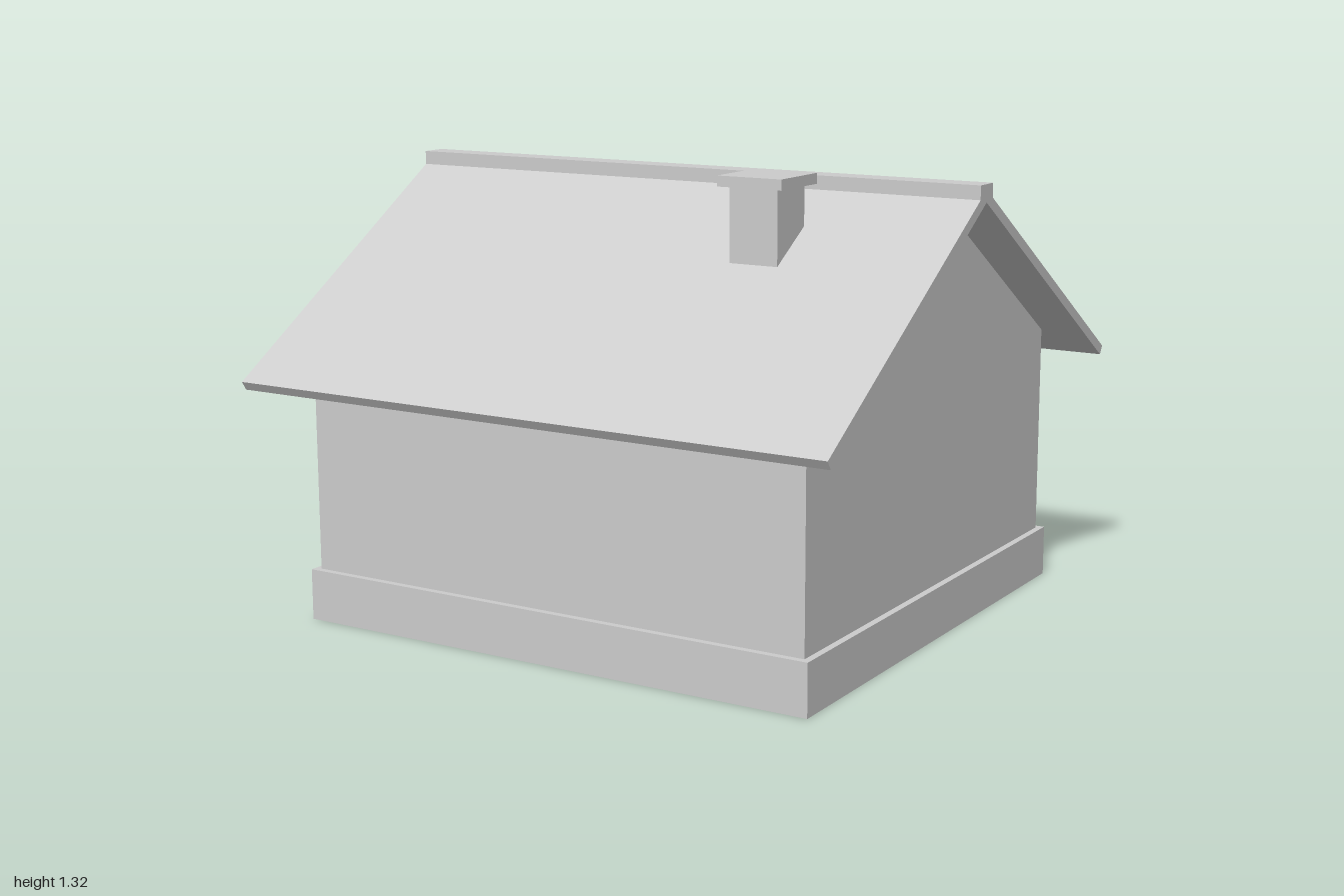
import * as THREE from 'three';

const plaster = new THREE.MeshStandardMaterial({ color: 0xcccccc });
plaster.name = 'pale grey';

export function createModel() {
  const house = new THREE.Group();
  house.name = 'house';

  const add = (name, geometry) => {
    const mesh = new THREE.Mesh(geometry, plaster);
    mesh.name = name;
    house.add(mesh);
    return mesh;
  };

  // Box given by its extents on each axis
  const box = (name, [x0, x1], [y0, y1], [z0, z1]) => {
    const mesh = add(name, new THREE.BoxGeometry(x1 - x0, y1 - y0, z1 - z0));
    mesh.position.set((x0 + x1) / 2, (y0 + y1) / 2, (z0 + z1) / 2);
    return mesh;
  };

  // Side profile of [z, y] points, extruded along x and centred on x = 0
  const profile = (name, points, width) => {
    const shape = new THREE.Shape(points.map(([z, y]) => new THREE.Vector2(-z, y)));
    const geometry = new THREE.ExtrudeGeometry(shape, { depth: width, bevelEnabled: false });
    geometry.translate(0, 0, -width / 2).rotateY(Math.PI / 2);
    return add(name, geometry);
  };

  // Plinth and gabled walls
  const ridgeZ = 0.1, ridgeY = 1.25, pitch = 0.633;
  box('plinth', [-0.82, 0.82], [0, 0.15], [-0.67, 0.87]);
  const eaveY = ridgeY - 0.75 * pitch;
  profile('walls', [[0.85, 0.15], [0.85, eaveY], [ridgeZ, ridgeY], [-0.65, eaveY], [-0.65, 0.15]], 1.6);

  // Roof: two slabs meeting at the ridge, with square-cut eaves
  const run = 0.884, drop = run * pitch;
  profile('roof', [
    [ridgeZ, ridgeY + 0.035],
    [ridgeZ - run - 0.016, ridgeY - drop + 0.025],
    [ridgeZ - run, ridgeY - drop],
    [ridgeZ, ridgeY],
    [ridgeZ + run, ridgeY - drop],
    [ridgeZ + run + 0.016, ridgeY - drop + 0.025],
  ], 1.88);
  box('ridgeCap', [-0.94, 0.94], [1.26, 1.3], [0.06, 0.14]);

  // Chimney
  box('chimney', [0.325, 0.475], [1.03, 1.29], [0.275, 0.425]);
  box('chimneyCap', [0.3, 0.5], [1.29, 1.32], [0.25, 0.45]);

  // Back wall: door, window and the board above it
  box('door', [-0.6, -0.3], [0.15, 0.6], [-0.66, -0.651]);
  box('window', [0.125, 0.51], [0.335, 0.64], [-0.66, -0.651]);
  box('signBoard', [-0.05, 0.65], [0.68, 0.83], [-0.677, -0.656]);

  // Porch canopy on two posts
  box('canopy', [-0.8, -0.1], [0.64, 0.67], [-1, -0.65]);
  for (const x of [-0.72, -0.18]) {
    box('porchPost', [x - 0.018, x + 0.018], [0.1, 0.64], [-0.99, -0.954]);
  }

  return house;
}
